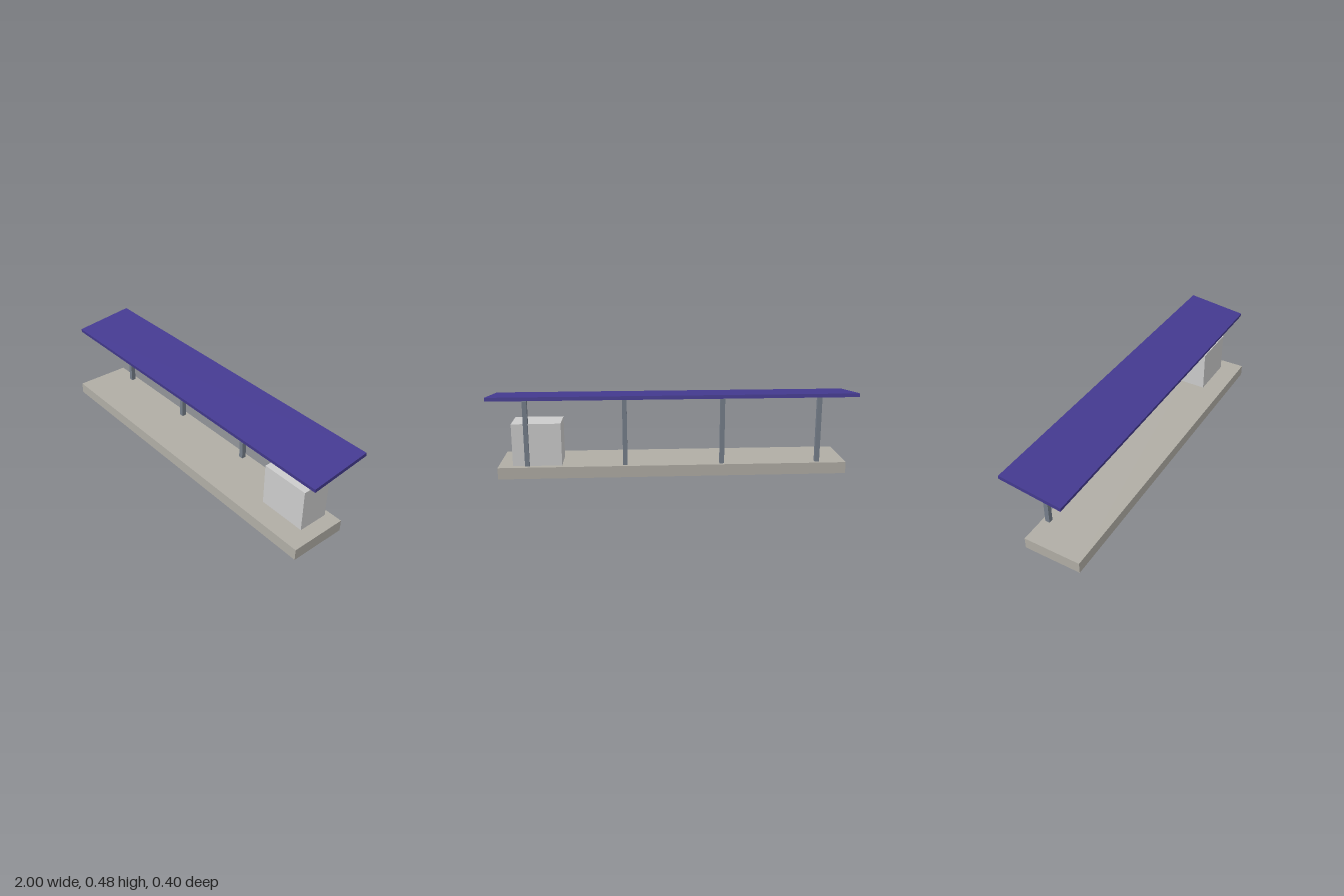
import * as THREE from 'three';

const mat = (color) => new THREE.MeshStandardMaterial({ color });

function box(name, size, position, material) {
  const mesh = new THREE.Mesh(new THREE.BoxGeometry(...size), material);
  mesh.name = name;
  mesh.position.set(...position);
  return mesh;
}

export function createModel() {
  const model = new THREE.Group();
  model.name = 'solarArray';
  const concrete = mat(0xb0ada5);
  const steel = mat(0x757e8a);
  const cabinetPaint = mat(0xc4c4c7);
  const panelBlue = mat(0x443a90);

  // Foundation slab
  model.add(box('foundation', [1.94, 0.065, 0.323], [0, 0.0325, 0.0385], concrete));

  // Row of support posts along the back
  const posts = new THREE.Group();
  posts.name = 'posts';
  for (const x of [-0.81, -0.27, 0.27, 0.81]) {
    posts.add(box('post', [0.025, 0.369, 0.026], [x, 0.2495, -0.091], steel));
  }
  model.add(posts);

  // Equipment cabinet at the left end
  model.add(box('cabinet', [0.27, 0.239, 0.173], [0.755, 0.1845, -0.0045], cabinetPaint));

  // Panel tilted down towards the front
  const panel = box('panel', [2, 0.02, 0.347], [0, 0.4445, -0.0262], panelBlue);
  panel.rotation.x = THREE.MathUtils.degToRad(6.9);
  model.add(panel);

  return model;
}
